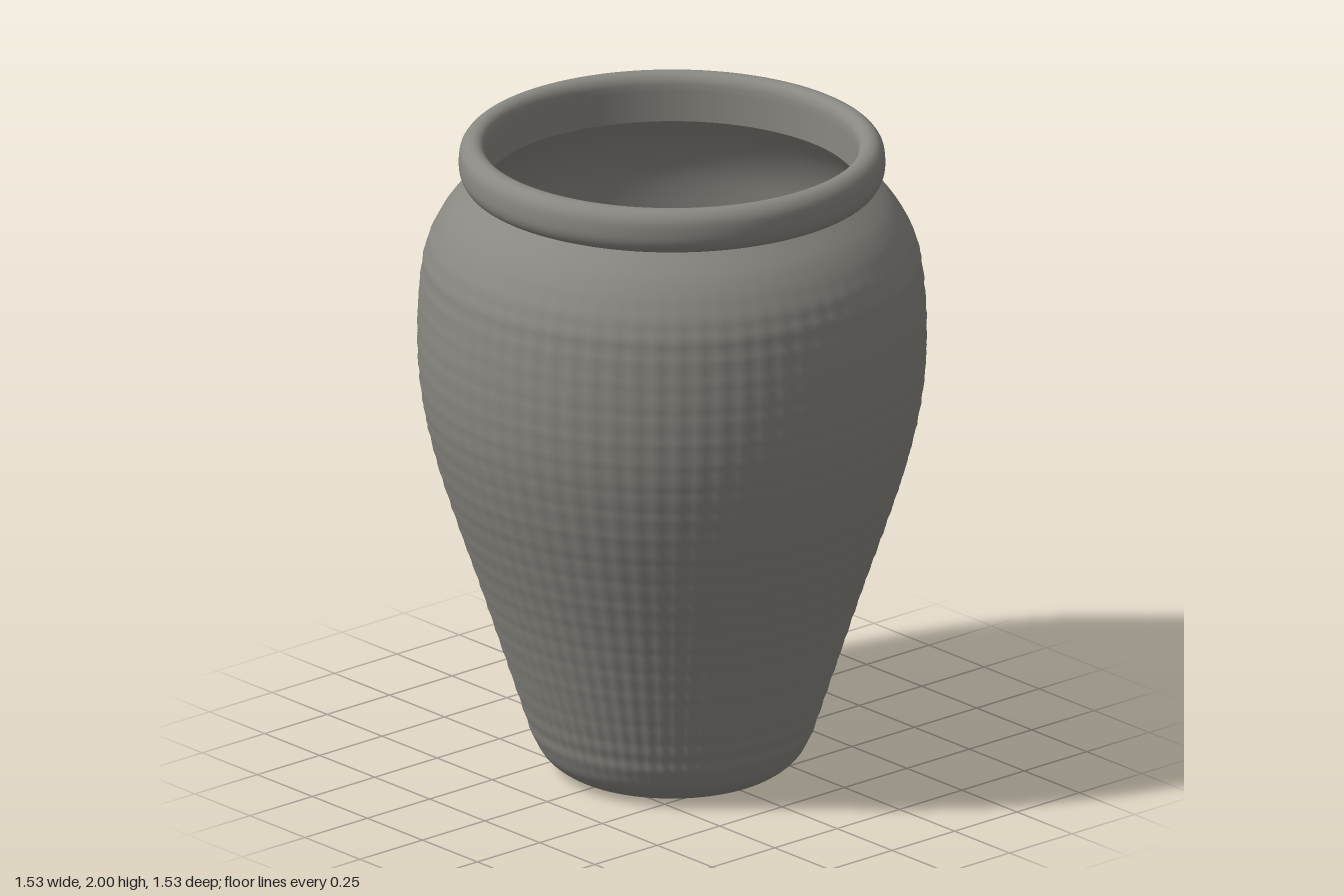
import * as THREE from 'three';
import { mergeVertices } from 'three/addons/utils/BufferGeometryUtils.js';

const COLUMNS = 72; // dimples around the wall
const ROW = 0.065;  // height of one row of dimples

const clay = new THREE.MeshStandardMaterial({ color: 0x8a8882 });
clay.name = 'grey clay';

const points = (list) => list.map(([r, y]) => new THREE.Vector2(r, y));
const smooth = (list, n) => new THREE.SplineCurve(points(list)).getPoints(n);

function turned(name, profile, segments = 144) {
  const mesh = new THREE.Mesh(new THREE.LatheGeometry(profile, segments), clay);
  mesh.name = name;
  return mesh;
}

// Shallow hammered dimples, fading out at the foot and the shoulder
function hammer(geometry) {
  const pos = geometry.attributes.position;
  for (let i = 0; i < pos.count; i++) {
    const x = pos.getX(i), y = pos.getY(i), z = pos.getZ(i);
    const r = Math.hypot(x, z), a = Math.atan2(x, z);
    const fade = THREE.MathUtils.smoothstep(y, 0.03, 0.2) * (1 - THREE.MathUtils.smoothstep(y, 1.55, 1.82));
    const wave = Math.cos(a * COLUMNS) + Math.cos((y / ROW) * Math.PI * 2);
    const k = 1 + (0.0018 * fade * wave) / r;
    pos.setXYZ(i, x * k, y, z * k);
  }
  geometry.deleteAttribute('uv');
  geometry.deleteAttribute('normal');
  const merged = mergeVertices(geometry, 1e-5);
  merged.computeVertexNormals();
  return merged;
}

export function createModel() {
  const pot = new THREE.Group();
  pot.name = 'plantPot';

  // Outer wall from the rounded foot up to the neck
  const wall = turned('outerWall', smooth([
    [0.29, 0], [0.335, 0.012], [0.385, 0.05], [0.42, 0.11], [0.45, 0.2], [0.515, 0.4],
    [0.58, 0.6], [0.648, 0.8], [0.71, 1.0], [0.752, 1.2], [0.764, 1.4], [0.75, 1.6],
    [0.722, 1.7], [0.667, 1.79], [0.595, 1.86],
  ], 120), COLUMNS * 4);
  wall.geometry = hammer(wall.geometry);
  pot.add(wall);

  // Rolled rim
  pot.add(turned('rim', smooth([
    [0.595, 1.86], [0.622, 1.872], [0.638, 1.9], [0.641, 1.935], [0.636, 1.97],
    [0.618, 1.993], [0.595, 2], [0.575, 1.993], [0.563, 1.975], [0.56, 1.95],
  ], 36)));

  // Hollow inside: straight neck, then the belly tapering to the floor
  pot.add(turned('innerNeck', points([[0.56, 1.95], [0.56, 1.85]])));
  pot.add(turned('innerWall', smooth([
    [0.56, 1.85], [0.63, 1.77], [0.68, 1.68], [0.705, 1.58], [0.714, 1.4], [0.702, 1.2],
    [0.66, 1.0], [0.598, 0.8], [0.53, 0.6], [0.465, 0.4], [0.4, 0.2], [0.365, 0.09],
  ], 48)));

  // Floor, drain hole and underside
  pot.add(turned('floor', points([[0.365, 0.09], [0.07, 0.09]])));
  pot.add(turned('drainHole', points([[0.07, 0.09], [0.07, 0]])));
  pot.add(turned('underside', points([[0.07, 0], [0.29, 0]])));

  return pot;
}
